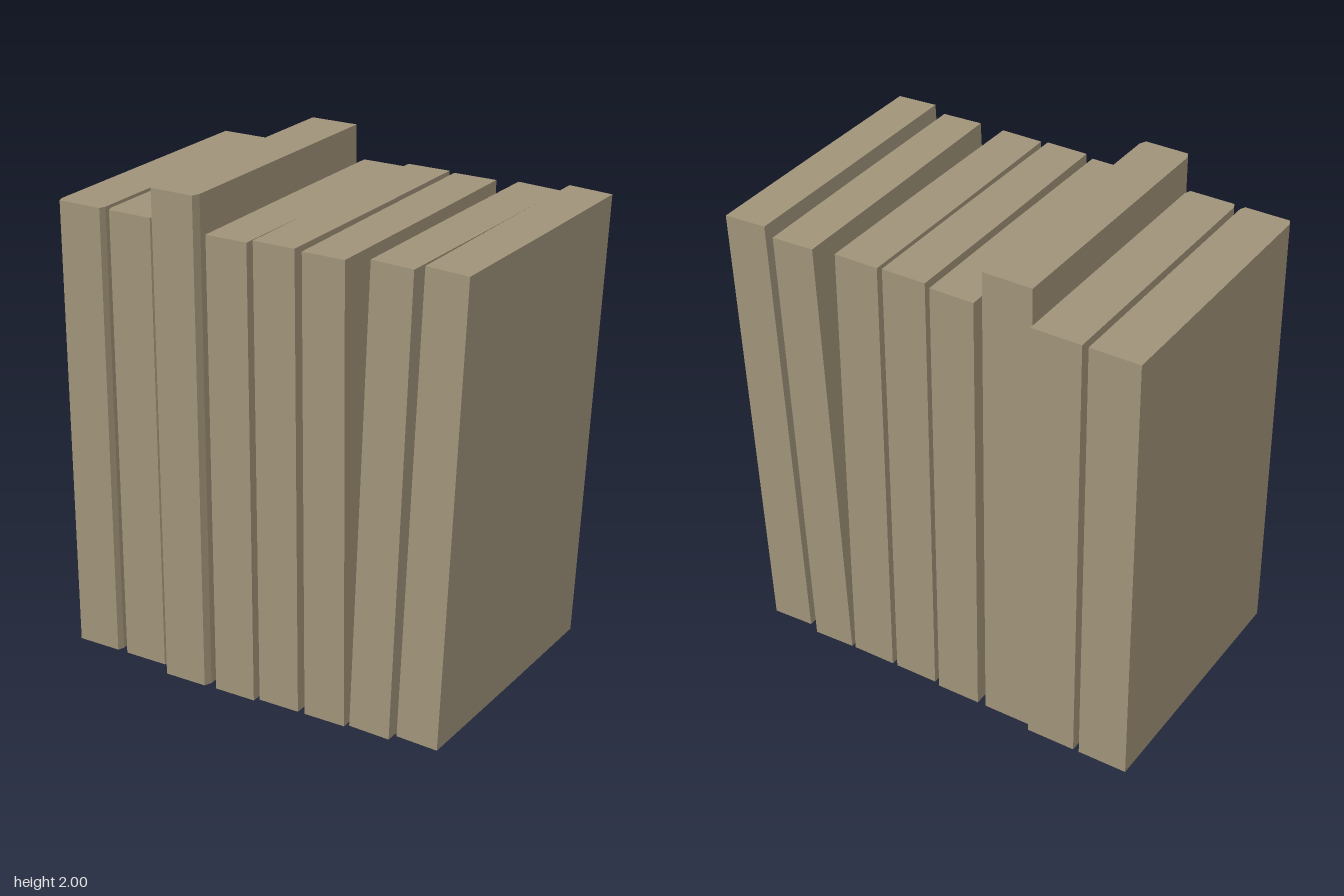
import * as THREE from 'three';

// Upright slab with a footprint whose front (spine) corners are trimmed by cx, cz
function slab(w, h, d, cx, cz) {
  const x = w / 2, z = d / 2;
  const shape = new THREE.Shape([
    [-x, -z], [x - cx, -z], [x, -z + cz], [x, z], [-x, z], [-x, -z + cz], [-x + cx, -z],
  ].slice(1).map(([a, b]) => new THREE.Vector2(a, b)));
  return new THREE.ExtrudeGeometry(shape, { depth: h, bevelEnabled: false })
    .rotateX(-Math.PI / 2)
    .translate(0, -h / 2, 0);
}

export function createModel() {
  const group = new THREE.Group();
  const cover = new THREE.MeshStandardMaterial({ color: 0xa09379 });
  cover.name = 'khaki cover';

  // Standing books: left x, right x, bottom y, top y, back z, front z, spine trim x, z
  const standing = [
    [-0.885, -0.68, 0.012, 1.87, -0.583, 0.54, 0.01, 0.025],
    [-0.655, -0.45, 0.012, 1.87, -0.583, 0.54, 0.01, 0.025],
    [-0.435, -0.23, 0, 2, -0.545, 0.578, 0.012, 0.03],
    [-0.194, -0.01, 0, 1.862, -0.545, 0.574, 0.004, 0.6],
    [0.009, 0.192, 0.012, 1.875, -0.545, 0.574, 0.004, 0.6],
    [0.214, 0.398, 0.012, 1.87, -0.545, 0.574, 0.004, 0.6],
  ];
  standing.forEach(([x0, x1, y0, y1, z0, z1, cx, cz], i) => {
    const book = new THREE.Mesh(slab(x1 - x0, y1 - y0, z1 - z0, cx, cz), cover);
    book.position.set((x0 + x1) / 2, (y0 + y1) / 2, (z0 + z1) / 2);
    book.name = `standingBook${i + 1}`;
    group.add(book);
  });

  // Leaning books: centre x, y, z, tilt about x, tilt about z
  const leaning = [
    [0.538, 0.944, 0.005, -0.0105, -0.037],
    [0.75, 0.964, 0.008, -0.006, -0.0445],
  ];
  leaning.forEach(([x, y, z, rx, rz], i) => {
    const book = new THREE.Mesh(slab(0.178, 1.862, 1.12, 0.003, 0.6), cover);
    book.position.set(x, y, z);
    book.rotation.set(rx, 0, rz);
    book.name = `leaningBook${i + 1}`;
    group.add(book);
  });
  return group;
}
